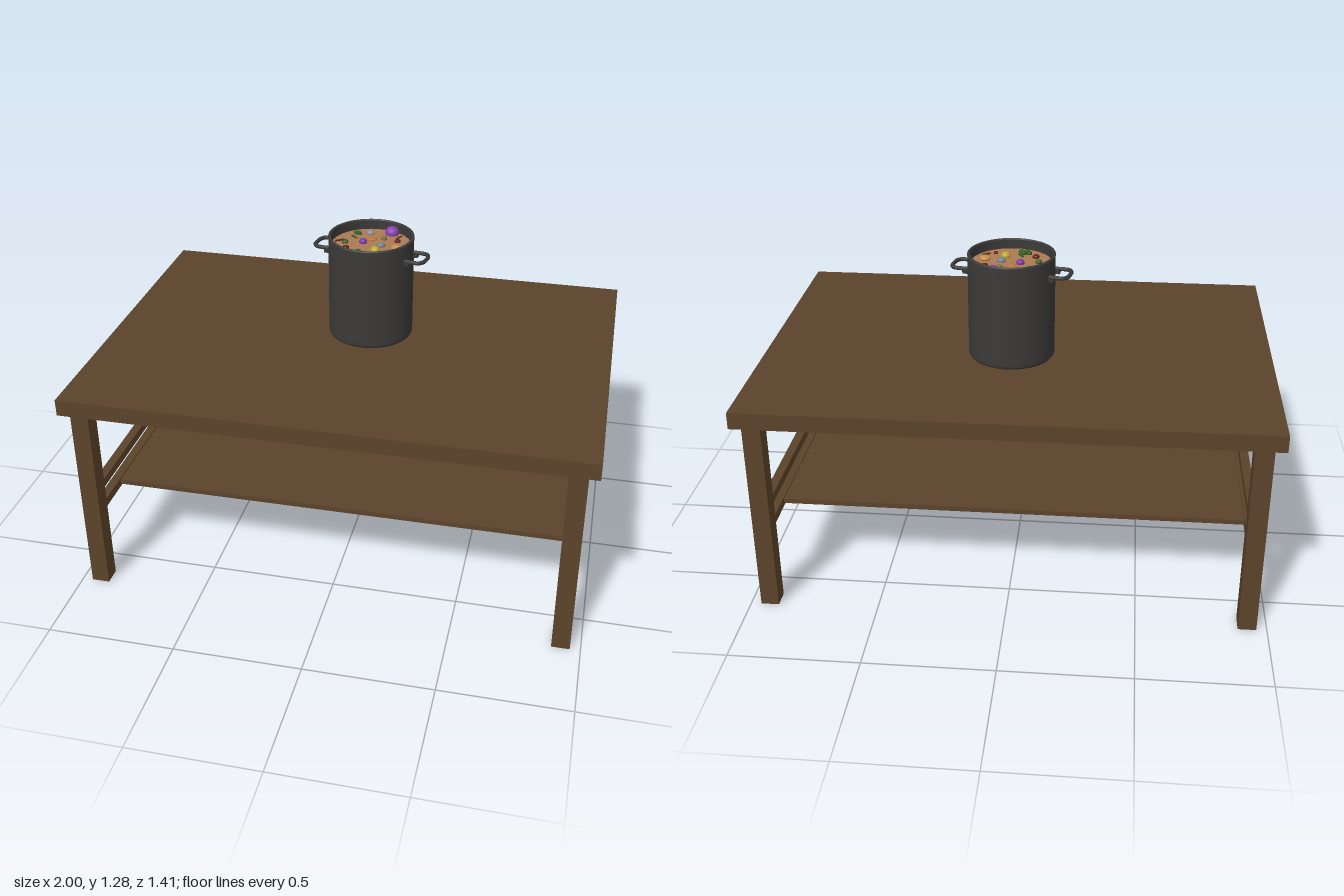
import * as THREE from 'three';

const mat = (color, extra = {}) => new THREE.MeshStandardMaterial({ color, ...extra });

export function createModel() {
  const model = new THREE.Group();
  const wood = mat(0x5c432a);
  const iron = mat(0x3b3a39, { side: THREE.DoubleSide });

  function add(parent, name, geometry, material, x = 0, y = 0, z = 0) {
    const mesh = new THREE.Mesh(geometry, material);
    mesh.name = name;
    mesh.position.set(x, y, z);
    parent.add(mesh);
    return mesh;
  }

  // Table: top, legs, two rails at each end, shelf resting between the rails
  const table = new THREE.Group();
  table.name = 'table';
  model.add(table);
  add(table, 'tableTop', new THREE.BoxGeometry(2, 0.065, 1.41), wood, 0, 0.8225, 0);
  add(table, 'shelf', new THREE.BoxGeometry(1.83, 0.02, 0.86), wood, 0, 0.32, 0);
  for (const sx of [-1, 1]) {
    const side = sx > 0 ? 'left' : 'right';
    for (const sz of [-1, 1]) {
      add(table, `${side}${sz > 0 ? 'Front' : 'Back'}Leg`,
        new THREE.BoxGeometry(0.07, 0.79, 0.07), wood, sx * 0.925, 0.395, sz * 0.645);
    }
    add(table, `${side}UpperRail`, new THREE.BoxGeometry(0.035, 0.035, 1.22), wood, sx * 0.925, 0.412, 0);
    add(table, `${side}LowerRail`, new THREE.BoxGeometry(0.035, 0.035, 1.22), wood, sx * 0.925, 0.318, 0);
  }

  // Stock pot: one profile for outside wall, rim and inside wall
  const pot = new THREE.Group();
  pot.name = 'pot';
  pot.position.set(0.025, 0.856, -0.1);
  pot.rotation.y = -0.19;
  model.add(pot);
  const profile = [
    [0, 0], [0.156, 0], [0.163, 0.002], [0.167, 0.007], [0.169, 0.015], [0.169, 0.03],
    [0.169, 0.41], [0.17, 0.414], [0.169, 0.418], [0.164, 0.42], [0.159, 0.418],
    [0.158, 0.414], [0.158, 0.03], [0.15, 0.012], [0, 0.012],
  ].map(([r, y]) => new THREE.Vector2(r, y));
  add(pot, 'potBody', new THREE.LatheGeometry(profile, 64), iron);

  // Loop handles with mounting lugs on the wall
  for (const [name, turn] of [['leftHandle', 0], ['rightHandle', Math.PI]]) {
    const handle = new THREE.Group();
    handle.name = name;
    handle.rotation.y = turn;
    pot.add(handle);
    const path = new THREE.CatmullRomCurve3([
      [0.16, -0.046], [0.195, -0.049], [0.218, -0.045], [0.23, -0.028],
      [0.232, 0], [0.23, 0.028], [0.218, 0.045], [0.195, 0.049], [0.16, 0.046],
    ].map(([x, z]) => new THREE.Vector3(x, 0.354, z)));
    add(handle, 'handleLoop', new THREE.TubeGeometry(path, 48, 0.008, 10), iron);
    for (const s of [-1, 1]) {
      add(handle, 'handleLug', new THREE.BoxGeometry(0.022, 0.02, 0.02), iron, 0.17, 0.346, s * 0.046);
    }
  }

  // Stew surface
  const stew = new THREE.Group();
  stew.name = 'stew';
  model.add(stew);
  const level = 1.235;
  add(stew, 'broth', new THREE.CircleGeometry(0.16, 64).rotateX(-Math.PI / 2), mat(0xa87a52), 0.025, level, -0.1);

  // Round vegetables: name, colour, x, z, radius, height factor
  const rounds = [
    ['largeOnion', 0x8a3fb0, 0.085, -0.22, 0.028, 0.9],
    ['smallOnion', 0x7a35a0, -0.01, -0.11, 0.016, 0.9],
    ['lemon', 0xb9a92e, 0.053, -0.038, 0.019, 0.8],
    ['potato', 0xc2904a, 0.13, -0.075, 0.022, 0.5],
    ['carrotSlice', 0xb87838, 0.02, -0.145, 0.018, 0.3],
    ['mushroom', 0x8d9299, 0, -0.205, 0.016, 0.7],
    ['mushroom', 0x76808c, 0.065, -0.09, 0.017, 0.7],
    ['bean', 0x5e1f18, -0.065, -0.04, 0.014, 0.7],
    ['bean', 0x5e1f18, 0.122, -0.145, 0.012, 0.7],
    ['bean', 0x5e1f18, 0.095, -0.005, 0.009, 0.7],
    ['sprout', 0x6d7030, 0.065, -0.16, 0.012, 0.8],
    ['sprout', 0x3c5c22, -0.08, -0.095, 0.013, 0.8],
  ];
  for (const [name, color, x, z, r, squash] of rounds) {
    add(stew, name, new THREE.SphereGeometry(r, 20, 14), mat(color), x, level + r * 0.25, z).scale.y = squash;
  }

  // Leafy florets: clusters of small balls
  for (const [x, z, size] of [[-0.02, 0.005, 0.016], [-0.05, -0.195, 0.011]]) {
    const floret = new THREE.Group();
    floret.name = 'greenFloret';
    floret.position.set(x, level, z);
    stew.add(floret);
    for (let i = 0; i < 4; i++) {
      add(floret, 'floretBud', new THREE.SphereGeometry(size * 0.7, 12, 8), mat(0x245c1e),
        (i - 1.5) * size * 0.65, size * 0.2, (i % 2 - 0.5) * size);
    }
  }

  // Sticks and stems lying in the broth: colour, x, z, length, angle
  const stems = [
    [0x4a2415, -0.105, -0.11, 0.035, 0.6], [0x3c5c22, -0.055, -0.155, 0.03, -0.7],
    [0x5a3a1c, 0.12, -0.185, 0.03, 1.1], [0x2f5a20, -0.005, -0.025, 0.03, -0.9],
    [0x4a2415, 0.13, -0.02, 0.025, 0.5],
  ];
  for (const [color, x, z, length, angle] of stems) {
    const stem = new THREE.CapsuleGeometry(0.004, length, 4, 8).rotateZ(Math.PI / 2);
    add(stew, 'stem', stem, mat(color), x, level + 0.002, z).rotation.y = angle;
  }
  return model;
}
